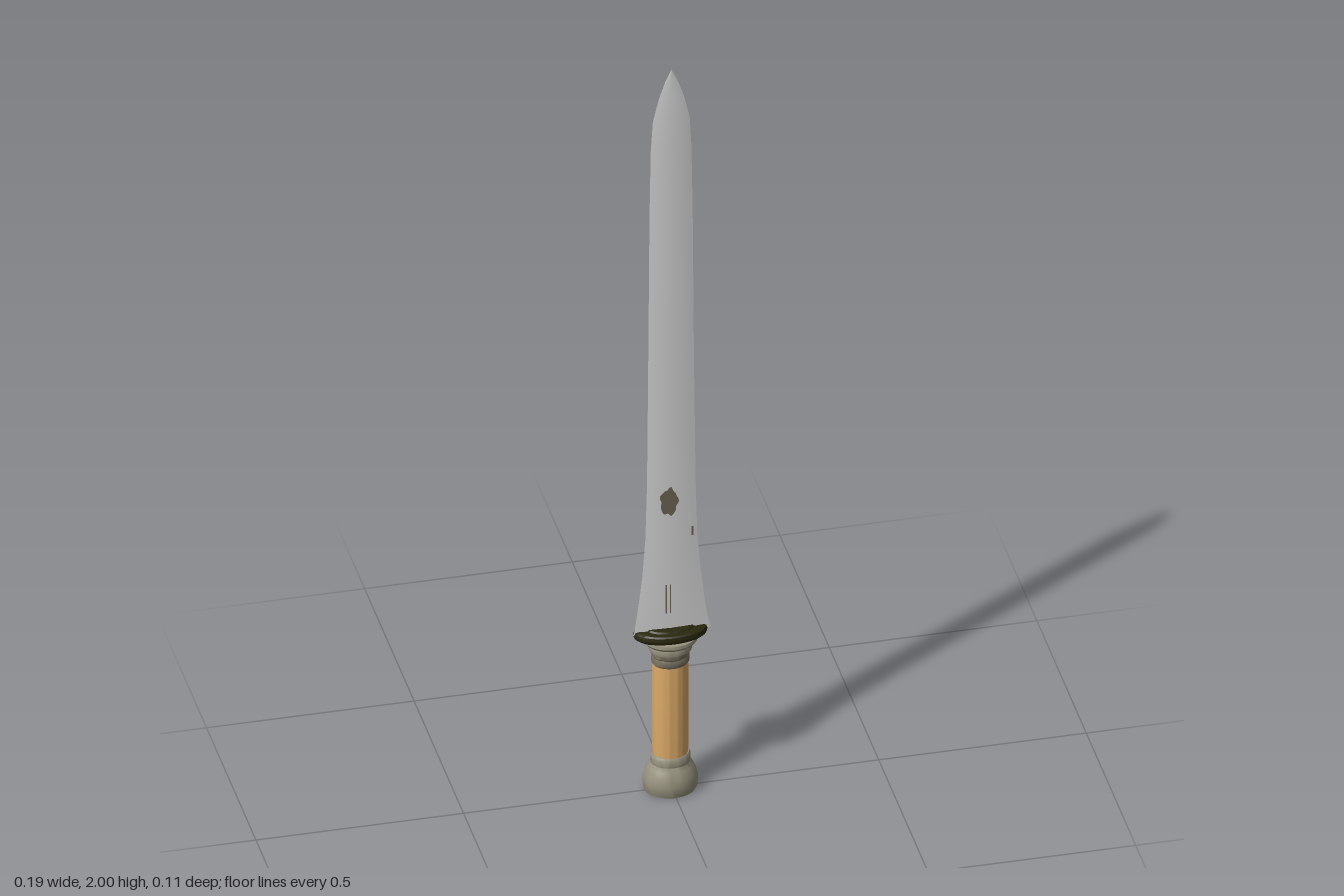
import * as THREE from 'three';
import { toCreasedNormals } from 'three/addons/utils/BufferGeometryUtils.js';

const mat = (name, color) => Object.assign(new THREE.MeshStandardMaterial({ color }), { name });

export function createModel() {
  const steel = mat('steel', 0xd2d2d2);
  const darkOlive = mat('dark olive', 0x29280f);
  const stone = mat('grey stone', 0x97927e);
  const darkStone = mat('dark stone', 0x77705f);
  const wood = mat('tan grip', 0xdcaa68);
  const mark = mat('dark engraving', 0x6a6353);
  const model = new THREE.Group();
  model.name = 'sword';

  const add = (name, geometry, material, x = 0, y = 0, z = 0) => {
    const mesh = new THREE.Mesh(geometry, material);
    mesh.name = name;
    mesh.position.set(x, y, z);
    model.add(mesh);
    return mesh;
  };
  // Oval turned part: profile of [radius, height], flattened in z
  const turned = (name, profile, material, flat = 0.85) => {
    const g = new THREE.LatheGeometry(profile.map(p => new THREE.Vector2(...p)), 40);
    g.scale(1, 1, flat);
    return add(name, toCreasedNormals(g, 0.6), material, -0.002);
  };

  // Handle, from the pommel upwards
  turned('pommel', [[0, 0], [0.06, 0], [0.064, 0.008], [0.066, 0.03], [0.062, 0.048], [0.054, 0.066],
    [0.047, 0.076], [0.048, 0.08], [0.048, 0.094], [0.044, 0.1], [0, 0.1]], stone);
  turned('grip', [[0.042, 0.098], [0.043, 0.12], [0.043, 0.33], [0.042, 0.355]], wood);
  turned('lowerCollar', [[0.042, 0.35], [0.045, 0.354], [0.045, 0.368], [0.043, 0.371],
    [0.046, 0.375], [0.046, 0.39], [0.04, 0.392]], darkStone);
  turned('upperCollar', [[0.04, 0.386], [0.051, 0.388], [0.053, 0.398], [0.051, 0.404],
    [0.06, 0.409], [0.065, 0.416], [0.064, 0.424], [0, 0.426]], stone, 0.88);

  // Oval guard with a raised inner step
  turned('guard', [[0, 0.422], [0.08, 0.422], [0.087, 0.427], [0.089, 0.434], [0.086, 0.442],
    [0.08, 0.445], [0.058, 0.445], [0.054, 0.449], [0, 0.449]], darkOlive, 0.54);
  const boss = add('guardBoss', new THREE.SphereGeometry(0.018, 20, 10), stone, -0.002, 0.447, -0.001);
  boss.scale.set(1, 0.3, 0.7);

  // Blade: heights with left and right edge, two bowed faces meeting at sharp edges
  const rows = [[0.435, -0.092, 0.095], [0.47, -0.086, 0.086], [0.53, -0.078, 0.078], [0.6, -0.07, 0.07],
    [0.7, -0.063, 0.062], [0.85, -0.059, 0.058], [1.2, -0.056, 0.054], [1.6, -0.053, 0.051],
    [1.78, -0.05, 0.048], [1.86, -0.045, 0.044], [1.92, -0.031, 0.031], [1.965, -0.016, 0.016], [2, 0, 0]];
  const bladeZ = 0.004;
  const halfThickness = y => (y > 1.85 ? 0.005 * (2 - y) / 0.15 : 0.005) + 0.0006;
  for (const side of [1, -1]) {
    const g = new THREE.PlaneGeometry(2, 1, 12, rows.length - 1);
    const p = g.attributes.position;
    for (let i = 0; i < p.count; i++) {
      const u = p.getX(i) * side;
      const [y, left, right] = rows[Math.round((p.getY(i) + 0.5) * (rows.length - 1))];
      const x = (left + right) / 2 + u * (right - left) / 2;
      p.setXYZ(i, x, y, side * halfThickness(y) * (1 - u * u));
    }
    g.computeVertexNormals();
    add(side > 0 ? 'bladeFront' : 'bladeBack', g, steel, 0, 0, bladeZ);
  }

  // Engraved blot on both faces of the blade
  const blot = new THREE.Shape();
  for (let i = 0; i < 28; i++) {
    const a = i / 28 * Math.PI * 2;
    const r = 1 + 0.1 * Math.sin(5 * a + 1) + 0.06 * Math.cos(9 * a);
    blot[i ? 'lineTo' : 'moveTo'](0.021 * r * Math.cos(a), 0.037 * r * Math.sin(a));
  }
  for (const side of [1, -1]) {
    const plate = new THREE.ExtrudeGeometry(blot, { depth: 0.002, bevelEnabled: false });
    add('engraving', plate, mark, -0.007, 0.8, bladeZ + side * 0.0052 - 0.001);
  }

  // Fine scratches near the base of the blade
  for (const x of [-0.014, -0.004]) {
    add('engravedLine', new THREE.BoxGeometry(0.0025, 0.08, 0.001), mark, x, 0.53, bladeZ + 0.0056);
  }
  add('edgeNick', new THREE.BoxGeometry(0.004, 0.025, 0.001), mark, 0.05, 0.71, bladeZ + 0.002);
  return model;
}
